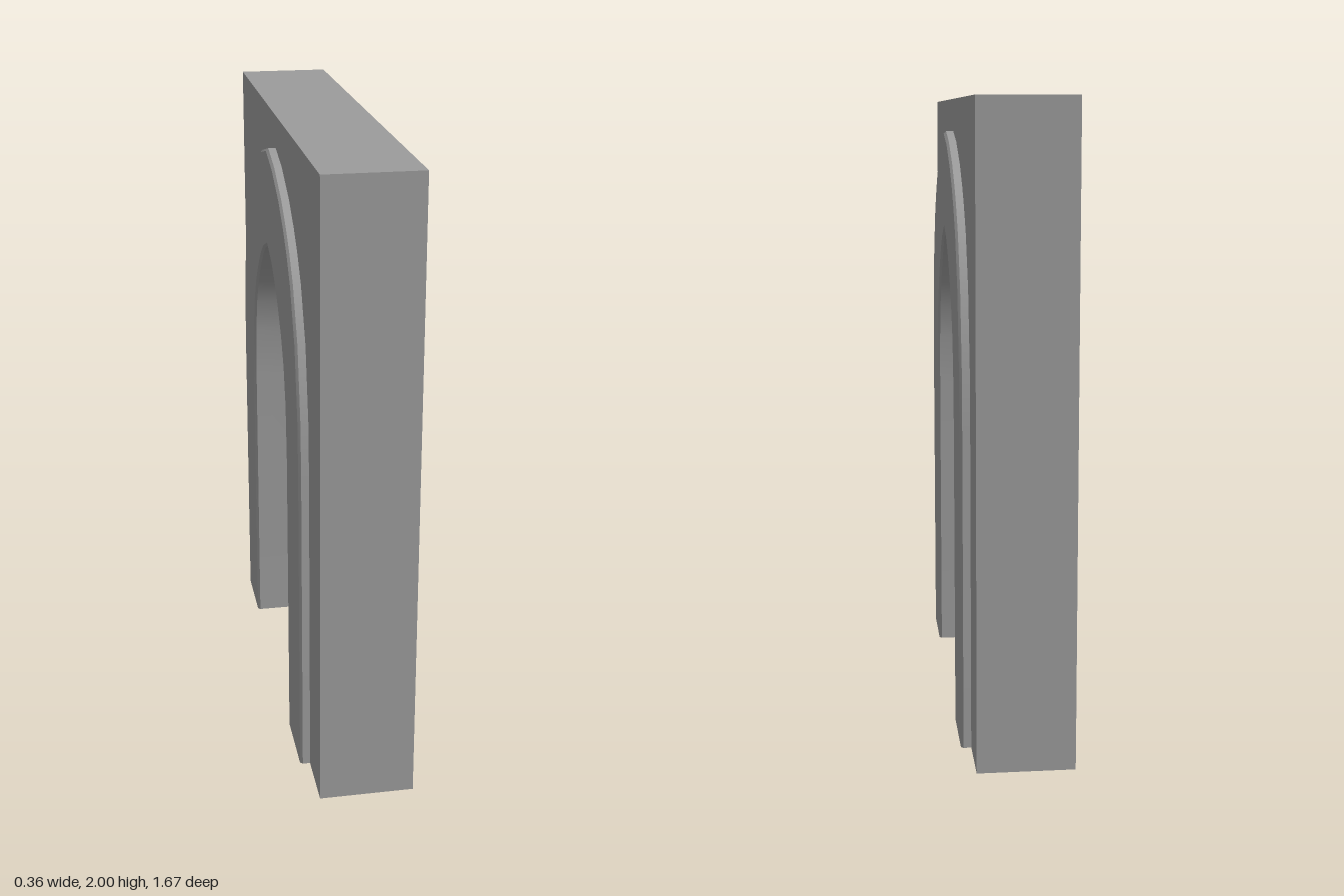
import * as THREE from 'three';
import { toCreasedNormals } from 'three/addons/utils/BufferGeometryUtils.js';

const WALL_X = 0.15, TRIM_X = 0.182, BEVEL = 0.008;

// Half arch curves as [z, y], from the floor to the apex
const INNER = [[0.397, 0], [0.392, 0.975], [0.375, 1.158], [0.342, 1.272], [0.291, 1.36],
  [0.239, 1.421], [0.192, 1.467], [0.147, 1.505], [0.098, 1.538], [0, 1.577]];
const OUTER = [[0.641, 0], [0.639, 1.01], [0.631, 1.195], [0.582, 1.43], [0.502, 1.592],
  [0.434, 1.672], [0.37, 1.73], [0.275, 1.796], [0.132, 1.862], [0, 1.895]];

const mirrorArch = half => [...half, ...half.slice(0, -1).reverse().map(([z, y]) => [-z, y])];

// Bevelled band between the two arch curves, built from cross-sections
function archBand() {
  const inner = mirrorArch(INNER), outer = mirrorArch(OUTER);
  const x = TRIM_X, xb = TRIM_X - BEVEL;
  // [side (0 inner, 1 outer), inset into the band, x]
  const section = [[0, 0, xb], [0, BEVEL, x], [1, BEVEL, x], [1, 0, xb],
    [1, 0, -xb], [1, BEVEL, -x], [0, BEVEL, -x], [0, 0, -xb]];
  const n = section.length, last = inner.length - 1;
  const positions = [], indices = [];
  inner.forEach(([zi, yi], i) => {
    const [zo, yo] = outer[i], width = Math.hypot(zo - zi, yo - yi);
    for (const [side, inset, px] of section) {
      const t = side ? 1 - inset / width : inset / width;
      positions.push(px, yi + (yo - yi) * t, zi + (zo - zi) * t);
    }
  });
  for (let i = 0; i < last; i++) {
    for (let j = 0; j < n; j++) {
      const a = i * n + j, b = a + n, d = i * n + (j + 1) % n, c = d + n;
      indices.push(a, b, c, a, c, d);
    }
  }
  // Feet
  for (let j = 1; j < n - 1; j++) {
    indices.push(0, j, j + 1, last * n, last * n + j + 1, last * n + j);
  }
  const geometry = new THREE.BufferGeometry();
  geometry.setAttribute('position', new THREE.Float32BufferAttribute(positions, 3));
  geometry.setIndex(indices);
  return toCreasedNormals(geometry, THREE.MathUtils.degToRad(30));
}

// Rectangular wall cut away along the outer arch curve
function wallGeometry() {
  const corners = [[-0.835, 0], [-0.835, 2], [0.835, 2], [0.835, 0]];
  const outline = [...corners, ...mirrorArch(OUTER)].map(p => new THREE.Vector2(...p));
  const geometry = new THREE.ExtrudeGeometry(new THREE.Shape(outline), { depth: 2 * WALL_X, bevelEnabled: false });
  return geometry.translate(0, 0, -WALL_X).rotateY(Math.PI / 2);
}

export function createModel() {
  const group = new THREE.Group();
  group.name = 'archway';
  const material = new THREE.MeshStandardMaterial({ color: 0x9b9b9b });
  const add = (name, geometry) => {
    const mesh = new THREE.Mesh(geometry, material);
    mesh.name = name;
    group.add(mesh);
  };
  add('wall', wallGeometry());
  add('archTrim', archBand());
  return group;
}
